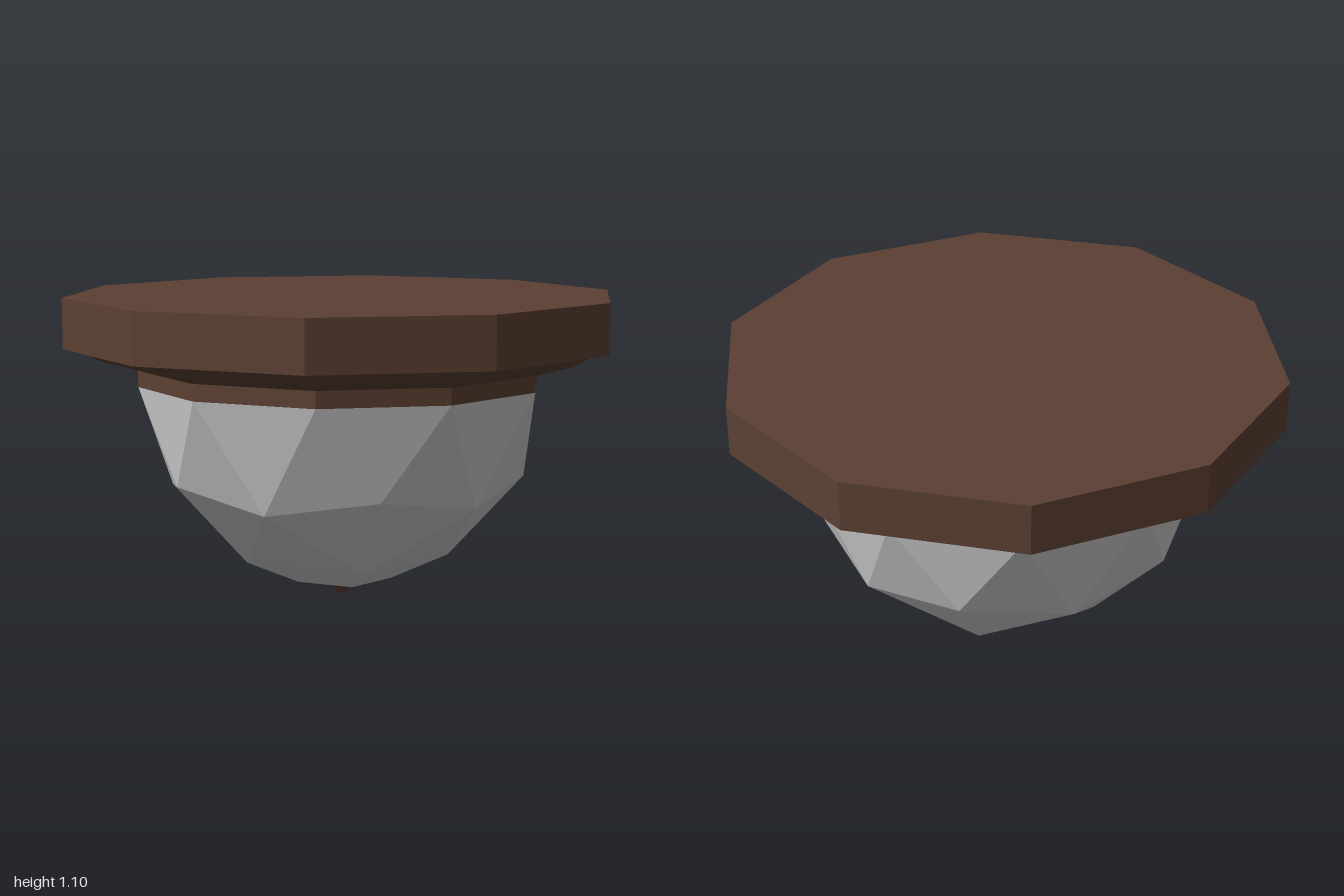
import * as THREE from 'three';

const wood = new THREE.MeshStandardMaterial({ color: 0x5c4033, flatShading: true });
const glass = new THREE.MeshStandardMaterial({ color: 0xcccccc, flatShading: true });

// Faceted turned part; profile is [radius, y] from bottom to top
function turned(name, profile, sides, phiStart = 0) {
  const points = profile.map(([r, y]) => new THREE.Vector2(r, y));
  const mesh = new THREE.Mesh(new THREE.LatheGeometry(points, sides, phiStart), wood);
  mesh.name = name;
  return mesh;
}

// Lower half of a once-divided icosahedron, with its tip cut off
function shadeGeometry(R, rimY, tipRadius, tipY) {
  const positions = [];
  const at = (r, y, step) => {
    const a = Math.PI + step * Math.PI / 10;
    return [r * Math.cos(a), y, r * Math.sin(a)];
  };
  const rim = k => at(R, rimY, 2 * k + 1);
  const waist = k => k % 2
    ? at(0.851 * R, rimY - 0.526 * R, 2 * k)
    : at(0.894 * R, rimY - 0.447 * R, 2 * k);
  const low = j => at(0.526 * R, rimY - 0.851 * R, 4 * j);
  const tip = j => at(tipRadius, tipY, 4 * j);
  const tri = (a, b, c) => positions.push(...a, ...b, ...c);

  for (let k = 0; k < 10; k++) {
    tri(rim(k), rim(k + 1), waist(k + 1));
    tri(waist(k + 1), waist(k), rim(k));
  }
  for (let j = 0; j < 5; j++) {
    const m = waist(2 * j + 1);
    tri(waist(2 * j), m, low(j));
    tri(m, waist(2 * j + 2), low(j + 1));
    tri(low(j + 1), low(j), m);
    tri(low(j), low(j + 1), tip(j));
    tri(tip(j + 1), tip(j), low(j + 1));
  }
  const geometry = new THREE.BufferGeometry();
  geometry.setAttribute('position', new THREE.Float32BufferAttribute(positions, 3));
  geometry.computeVertexNormals();
  return geometry;
}

export function createModel() {
  const model = new THREE.Group();
  model.name = 'ceilingLamp';

  // Ten-sided mounting plate, stepped moulding and collar
  model.add(turned('ceilingPlate', [[0, 0.92], [1, 0.92], [1, 1.1], [0, 1.1]], 10));
  model.add(turned('moulding', [[0.7, 0.84], [0.74, 0.84], [0.87, 0.875], [0.95, 0.92]], 10));
  model.add(turned('collar', [[0.737, 0.78], [0.737, 0.84]], 10));

  // Faceted glass shade
  const shade = new THREE.Mesh(shadeGeometry(0.737, 0.78, 0.18, 0.06), glass);
  shade.name = 'glassShade';
  model.add(shade);

  // Five-sided end cap with a small finial
  model.add(turned('endCap', [[0, 0.03], [0.05, 0.036], [0.18, 0.06]], 5, -Math.PI / 2));
  model.add(turned('finial', [[0, 0], [0.02, 0.004], [0.032, 0.02], [0.05, 0.04]], 8));

  return model;
}
